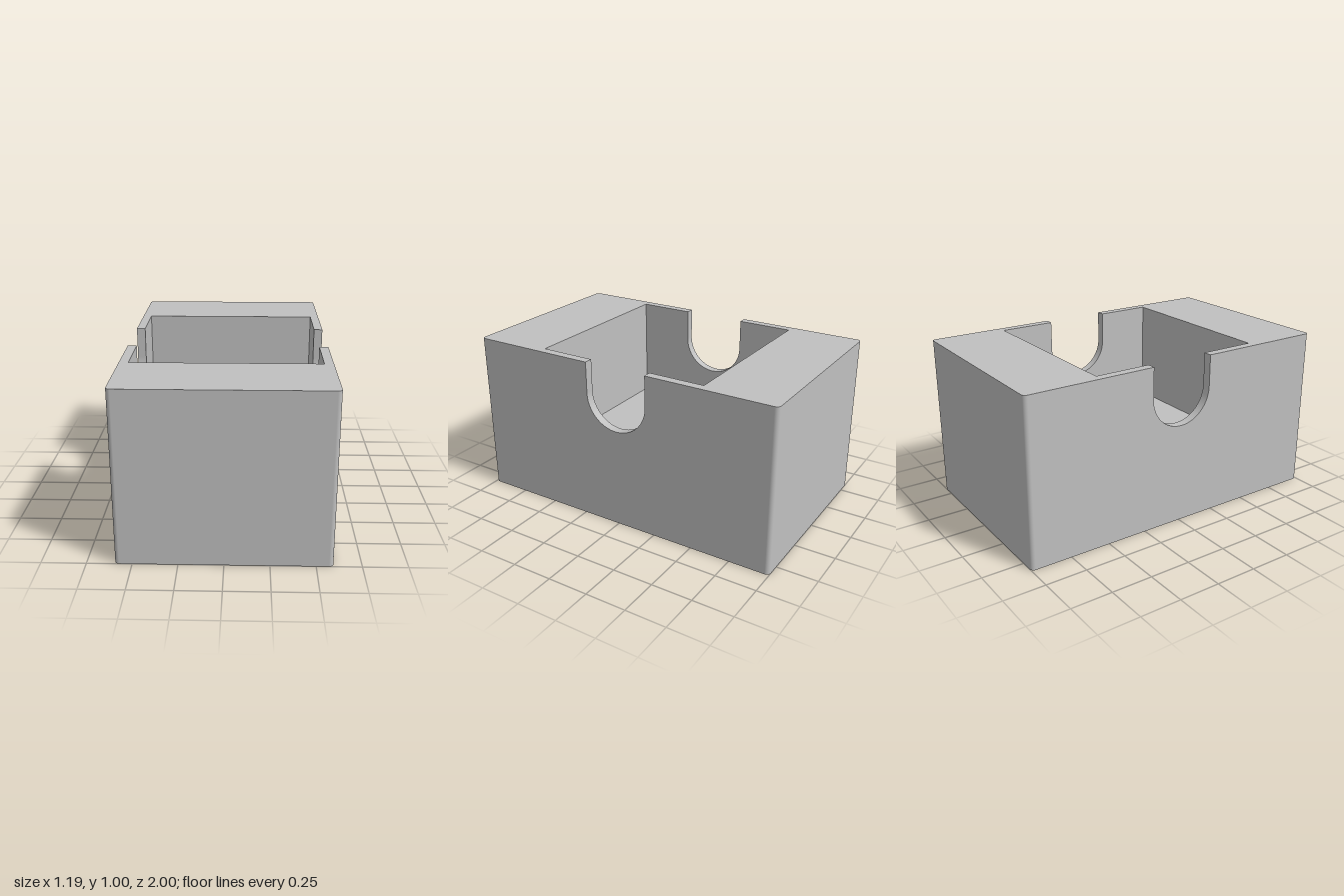
import * as THREE from 'three';

const W = 0.595, L = 1, H = 1.005, R = 0.025;   // outer half width, half length, height, corner radius
const P = 0.542, FLOOR = 0.37;                  // pocket half size and floor height
const N = 0.2, NY = 0.815;                      // notch radius and arc centre height

export function createModel() {
  const group = new THREE.Group();
  const grey = new THREE.MeshStandardMaterial({ color: 0xc0c0c0 });
  grey.name = 'plain grey';

  const add = (name, geometry, turn = 0) => {
    const mesh = new THREE.Mesh(geometry, grey);
    mesh.name = name;
    mesh.rotation.y = turn;
    group.add(mesh);
  };

  // Sweep a path into a surface; place(point, row) gives the two edges
  const ribbon = (points, place) => {
    const g = new THREE.PlaneGeometry(1, 1, points.length - 1, 1);
    for (let row = 0; row < 2; row++) {
      points.forEach((p, i) => g.attributes.position.setXYZ(row * points.length + i, ...place(p, row)));
    }
    g.computeVertexNormals();
    return g;
  };

  // U-shaped notch outline, left to right
  const notch = new THREE.Path().moveTo(-N, H).lineTo(-N, NY)
    .absarc(0, NY, N, Math.PI, Math.PI * 2, false).lineTo(N, H).getPoints(32);

  // Upright side panel with the notch cut from its top edge
  const panel = (half, bottom, z) => new THREE.ShapeGeometry(new THREE.Shape([
    new THREE.Vector2(-half, bottom), new THREE.Vector2(half, bottom), new THREE.Vector2(half, H),
    ...[...notch].reverse(), new THREE.Vector2(-half, H),
  ])).translate(0, 0, z);

  // Rounded end outline, left to right
  const end = new THREE.Path()
    .absarc(-W + R, L - R, R, Math.PI, Math.PI / 2, true)
    .absarc(W - R, L - R, R, Math.PI / 2, 0, true).getPoints(8);
  const flip = end.map((p) => new THREE.Vector2(p.x, -p.y));

  // Half of the top rim, wrapping round one end of the pocket
  const rim = new THREE.Shape([
    ...flip,
    new THREE.Vector2(W, -N), new THREE.Vector2(P, -N), new THREE.Vector2(P, -P),
    new THREE.Vector2(-P, -P), new THREE.Vector2(-P, -N), new THREE.Vector2(-W, -N),
  ]);

  for (const [i, side] of ['left', 'right'].entries()) {
    const turn = i ? -Math.PI / 2 : Math.PI / 2;
    add(`${side}OuterWall`, panel(L - R, 0, W), turn);
    add(`${side}Notch`, ribbon(notch, (p, row) => [p.x, p.y, row ? W : P]), turn);
    add(`${side}PocketWall`, panel(P, FLOOR, -P), -turn);
  }

  for (const [i, side] of ['front', 'back'].entries()) {
    const turn = i * Math.PI;
    add(`${side}OuterWall`, ribbon(end, (p, row) => [p.x, row ? 0 : H, p.y]), turn);
    add(`${side}Rim`, new THREE.ShapeGeometry(rim).rotateX(-Math.PI / 2).translate(0, H, 0), turn);
    add(`${side}PocketWall`,
      new THREE.PlaneGeometry(2 * P, H - FLOOR).translate(0, (H + FLOOR) / 2, -P), turn + Math.PI);
  }

  add('pocketFloor', new THREE.PlaneGeometry(2 * P, 2 * P).rotateX(-Math.PI / 2).translate(0, FLOOR, 0));

  // Underside with rounded corners
  const base = new THREE.Shape([...flip, ...[...end].reverse()]);
  add('underside', new THREE.ShapeGeometry(base).rotateX(Math.PI / 2));

  return group;
}
